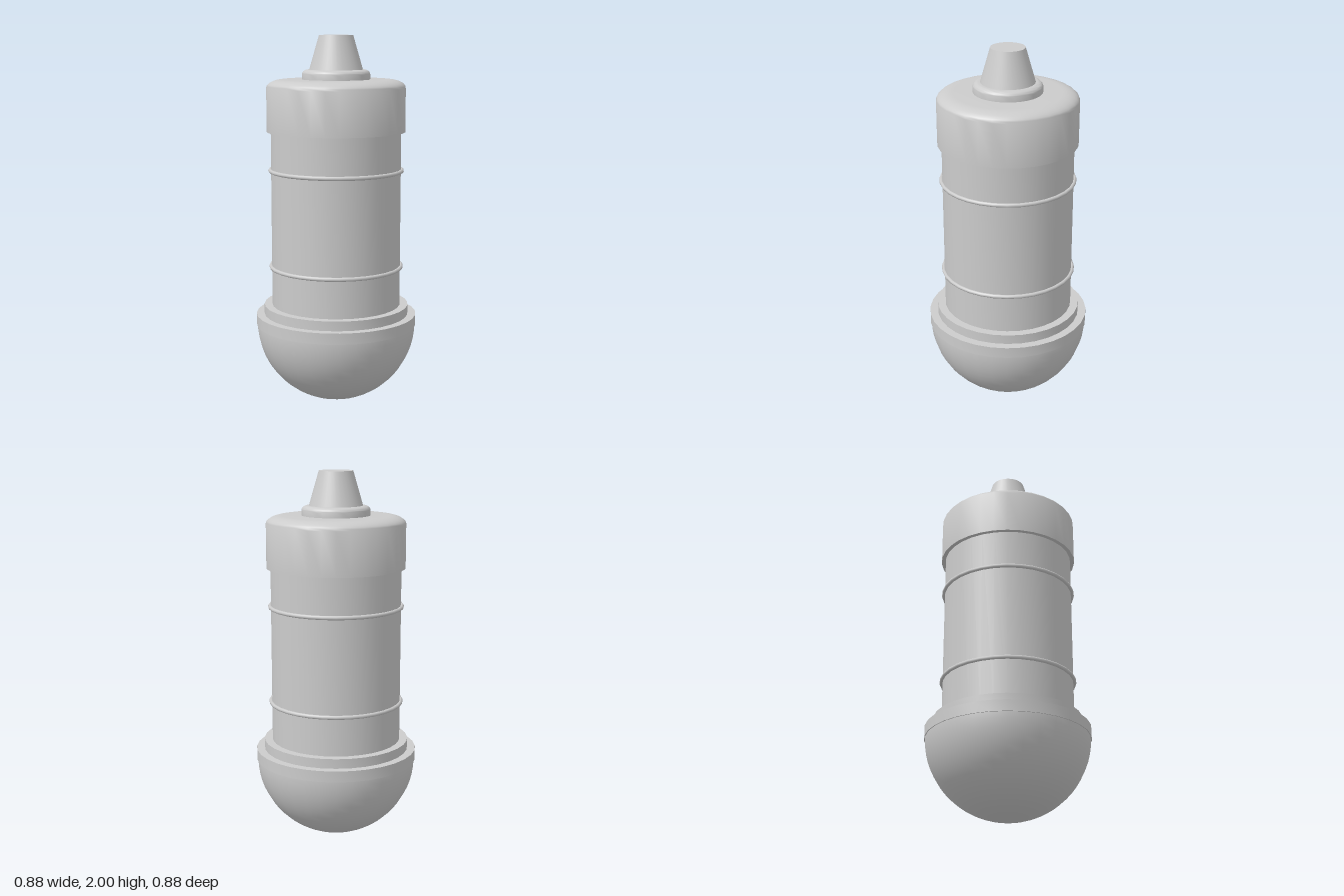
import * as THREE from 'three';
import { toCreasedNormals } from 'three/addons/utils/BufferGeometryUtils.js';

const SIDES = 32;

export function createModel() {
  const model = new THREE.Group();
  const material = new THREE.MeshStandardMaterial({ color: 0xcccccc });

  const add = (name, geometry, y = 0) => {
    const mesh = new THREE.Mesh(geometry, material);
    mesh.name = name;
    mesh.position.y = y;
    model.add(mesh);
  };

  // Closed, turned part with an optional elliptical rounding of its top edge
  const turned = (name, rBottom, rTop, y0, y1, roundX = 0, roundY = 0) => {
    const points = [new THREE.Vector2(0, y0), new THREE.Vector2(rBottom, y0)];
    const steps = roundX ? 8 : 0;
    for (let i = 0; i <= steps; i++) {
      const a = steps ? (i / steps) * Math.PI / 2 : 0;
      points.push(new THREE.Vector2(
        rTop - roundX * (1 - Math.cos(a)),
        y1 - roundY * (1 - Math.sin(a))
      ));
    }
    points.push(new THREE.Vector2(0, y1));
    add(name, toCreasedNormals(new THREE.LatheGeometry(points, SIDES), 0.6));
  };

  // Rounded base with its stepped collar
  add('baseDome', new THREE.SphereGeometry(0.436, SIDES, 16, 0, Math.PI * 2, Math.PI / 2, Math.PI / 2), 0.436);
  turned('baseRim', 0.44, 0.44, 0.425, 0.485);
  turned('baseCollar', 0.396, 0.396, 0.485, 0.537);

  // Main cylinder
  turned('body', 0.352, 0.352, 0.5, 1.5);

  // Thin bands round the body
  for (const [name, y] of [['lowerBand', 0.75], ['upperBand', 1.278]]) {
    const band = new THREE.TorusGeometry(0.357, 0.011, 8, SIDES);
    band.rotateX(Math.PI / 2);
    add(name, band, y);
  }

  // Cap, hub and tapered tip
  turned('cap', 0.374, 0.374, 1.487, 1.766, 0.09, 0.045);
  turned('hub', 0.183, 0.183, 1.76, 1.818, 0.032, 0.026);
  turned('tip', 0.146, 0.091, 1.81, 2);

  return model;
}
